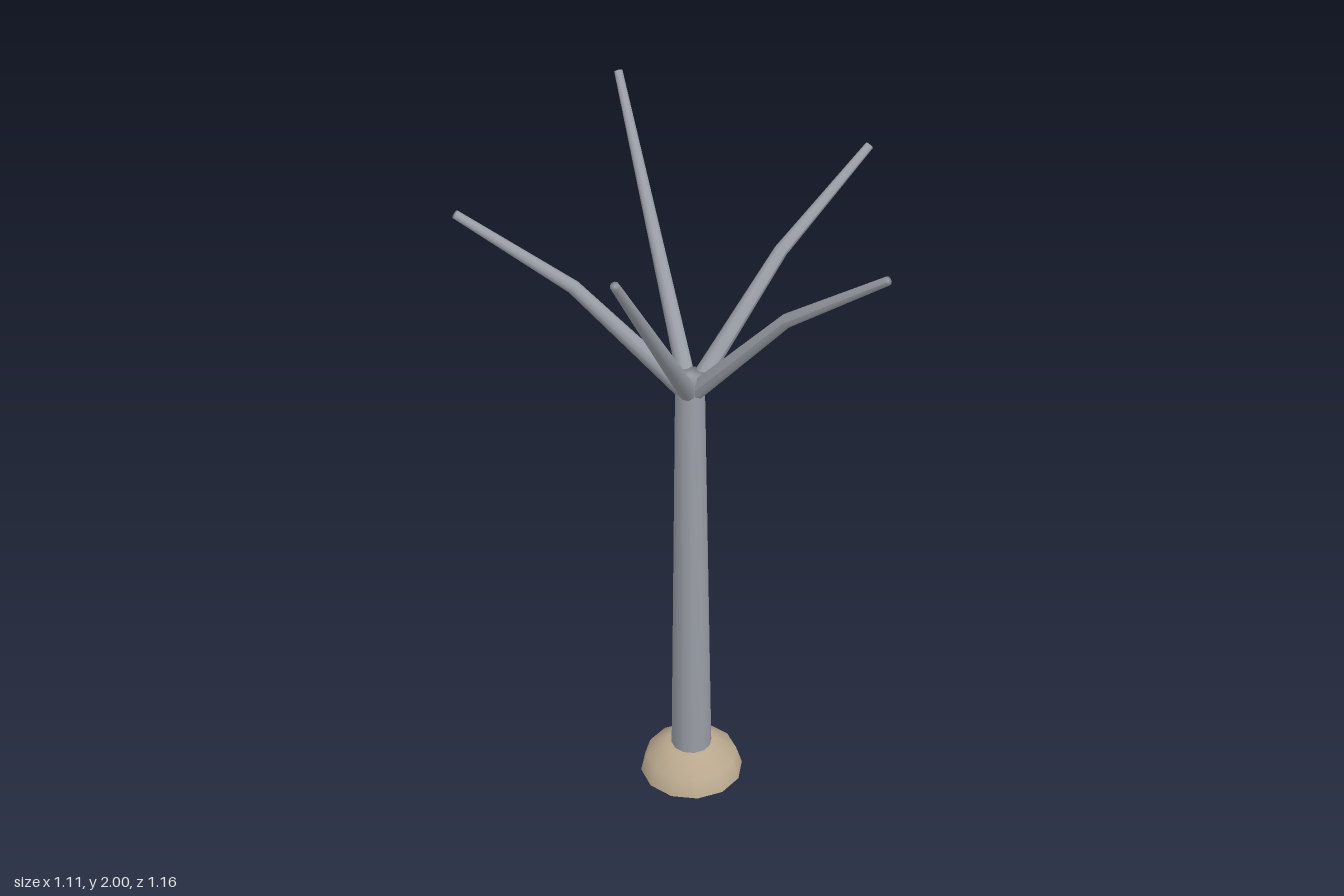
import * as THREE from 'three';

// Solid of revolution with smooth normals running over its caps
function lathe(profile, sides) {
  return new THREE.LatheGeometry(profile.map(([r, y]) => new THREE.Vector2(r, y)), sides);
}

// Tapered round limb following rings of [outward, height, radius] in the xy plane
function limbGeometry(rings) {
  const profile = [[0, 0], ...rings.map((ring, i) => [ring[2], i]), [0, rings.length - 1]];
  const geo = lathe(profile, 10);
  const pos = geo.attributes.position;
  for (let i = 0; i < pos.count; i++) {
    const k = Math.round(pos.getY(i));
    const a = rings[Math.max(0, k - 1)], b = rings[Math.min(rings.length - 1, k + 1)];
    const angle = Math.atan2(b[1] - a[1], b[0] - a[0]);
    const side = pos.getX(i);
    pos.setXY(i, rings[k][0] + side * Math.sin(angle), rings[k][1] - side * Math.cos(angle));
  }
  geo.computeVertexNormals();
  return geo;
}

export function createModel() {
  const model = new THREE.Group();
  model.name = 'bareTree';
  const bark = new THREE.MeshStandardMaterial({ color: 0x9a9ea7 });
  bark.name = 'grey bark';
  const soil = new THREE.MeshStandardMaterial({ color: 0xb9a88e, side: THREE.DoubleSide });
  soil.name = 'tan soil';

  const tree = new THREE.Group();
  tree.name = 'tree';
  tree.position.x = -0.06;
  model.add(tree);

  const add = (name, geometry, material) => {
    const mesh = new THREE.Mesh(geometry, material);
    mesh.name = name;
    tree.add(mesh);
    return mesh;
  };

  // Low mound, open underneath
  add('mound', lathe([[0.15, 0], [0.133, 0.055], [0.072, 0.096], [0, 0.1]], 12), soil);

  // Tapering trunk
  add('trunk', lathe([[0, 0.01], [0.06, 0.01], [0.04, 1.375], [0, 1.375]], 12), bark);

  // Five branches around the trunk: three bend outwards, two rise straight
  const bent = limbGeometry([[0.02, 1.33, 0.026], [0.305, 1.65, 0.019], [0.605, 1.872, 0.012]]);
  const straight = limbGeometry([[0.02, 1.33, 0.026], [0.305, 1.655, 0.019], [0.6, 1.992, 0.012]]);
  for (let i = 0; i < 5; i++) {
    const branch = add('branch' + (i + 1), i === 1 || i === 3 ? straight : bent, bark);
    branch.rotation.y = (i * Math.PI * 2) / 5;
  }
  return model;
}
